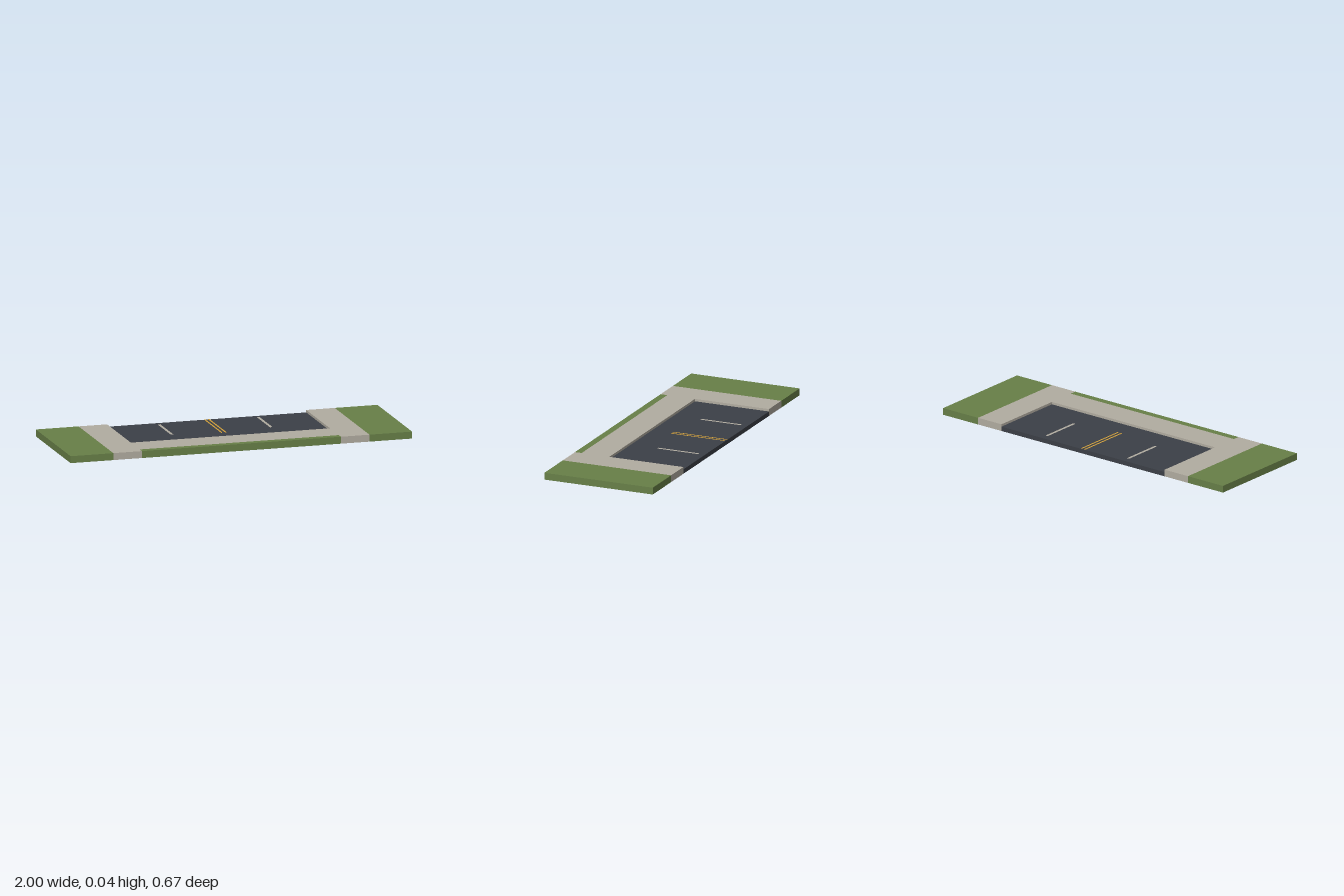
import * as THREE from 'three';

const TOP = 0.04, ROAD = 0.026;          // pavement and road heights
const OUT = 1, MID = 0.75, IN = 0.583;   // lawn, pavement and road limits in x
const BACK = -0.333, FRONT = 0.333, KERB = 0.122, VERGE = 0.292;

export function createModel() {
  const model = new THREE.Group();
  model.name = 'roadTile';
  const mat = (name, color) => {
    const m = new THREE.MeshStandardMaterial({ color, side: THREE.DoubleSide });
    m.name = name;
    return m;
  };
  const grass = mat('grass green', 0x688048);
  const paving = mat('paving grey', 0xb2ada1);
  const asphalt = mat('asphalt', 0x3c4047);
  const yellow = mat('line yellow', 0xd2a038);

  // Open shell panels: horizontal, facing z, and facing x
  const panel = (name, m, w, h, pos, rx, ry) => {
    const mesh = new THREE.Mesh(new THREE.PlaneGeometry(w, h), m);
    mesh.name = name;
    mesh.position.set(...pos);
    mesh.rotation.set(rx, ry, 0);
    model.add(mesh);
  };
  const deck = (name, m, x0, x1, z0, z1, y = TOP) =>
    panel(name, m, x1 - x0, z1 - z0, [(x0 + x1) / 2, y, (z0 + z1) / 2], -Math.PI / 2, 0);
  const wallZ = (name, m, x0, x1, z, dir, y = TOP) =>
    panel(name, m, x1 - x0, y, [(x0 + x1) / 2, y / 2, z], 0, dir > 0 ? 0 : Math.PI);
  const wallX = (name, m, x, z0, z1, dir) =>
    panel(name, m, z1 - z0, TOP, [x, TOP / 2, (z0 + z1) / 2], 0, dir * Math.PI / 2);

  // Lawn and pavement at each end, with their outer edges
  for (const s of [-1, 1]) {
    const side = s > 0 ? 'left' : 'right';
    const bands = [['Lawn', grass, MID, OUT], ['Pavement', paving, IN, MID]];
    for (const [label, m, a, b] of bands) {
      const x0 = Math.min(s * a, s * b), x1 = Math.max(s * a, s * b);
      deck(side + label, m, x0, x1, BACK, FRONT);
      wallZ(side + label + 'FrontEdge', m, x0, x1, FRONT, 1);
      wallZ(side + label + 'BackEdge', m, x0, x1, BACK, -1);
    }
    wallX(side + 'LawnEnd', grass, s * OUT, BACK, FRONT, s);
    wallX(side + 'Kerb', paving, s * IN, BACK, KERB, -s);
  }

  // Front pavement, kerb and grass verge
  deck('frontPavement', paving, -IN, IN, KERB, VERGE);
  wallZ('frontKerb', paving, -IN, IN, KERB, -1);
  deck('verge', grass, -IN, IN, VERGE, FRONT);
  wallZ('vergeFrontEdge', grass, -IN, IN, FRONT, 1);
  wallX('frontPavementEnd', paving, -IN, KERB, VERGE, -1);
  wallX('vergeEnd', grass, -IN, VERGE, FRONT, -1);

  // Sunken road
  deck('road', asphalt, -IN, IN, BACK, KERB, ROAD);
  wallZ('roadBackEdge', asphalt, -IN, IN, BACK, -1, ROAD);

  // Painted lane lines
  for (const s of [-1, 1]) {
    const line = (name, m, x, w, z0, z1) =>
      deck(name, m, s * x - w / 2, s * x + w / 2, z0, z1, ROAD + 0.002);
    line('centreLine', yellow, 0.012, 0.01, BACK, 0);
    line('laneDash', paving, 0.291, 0.016, -0.295, -0.045);
  }
  return model;
}
